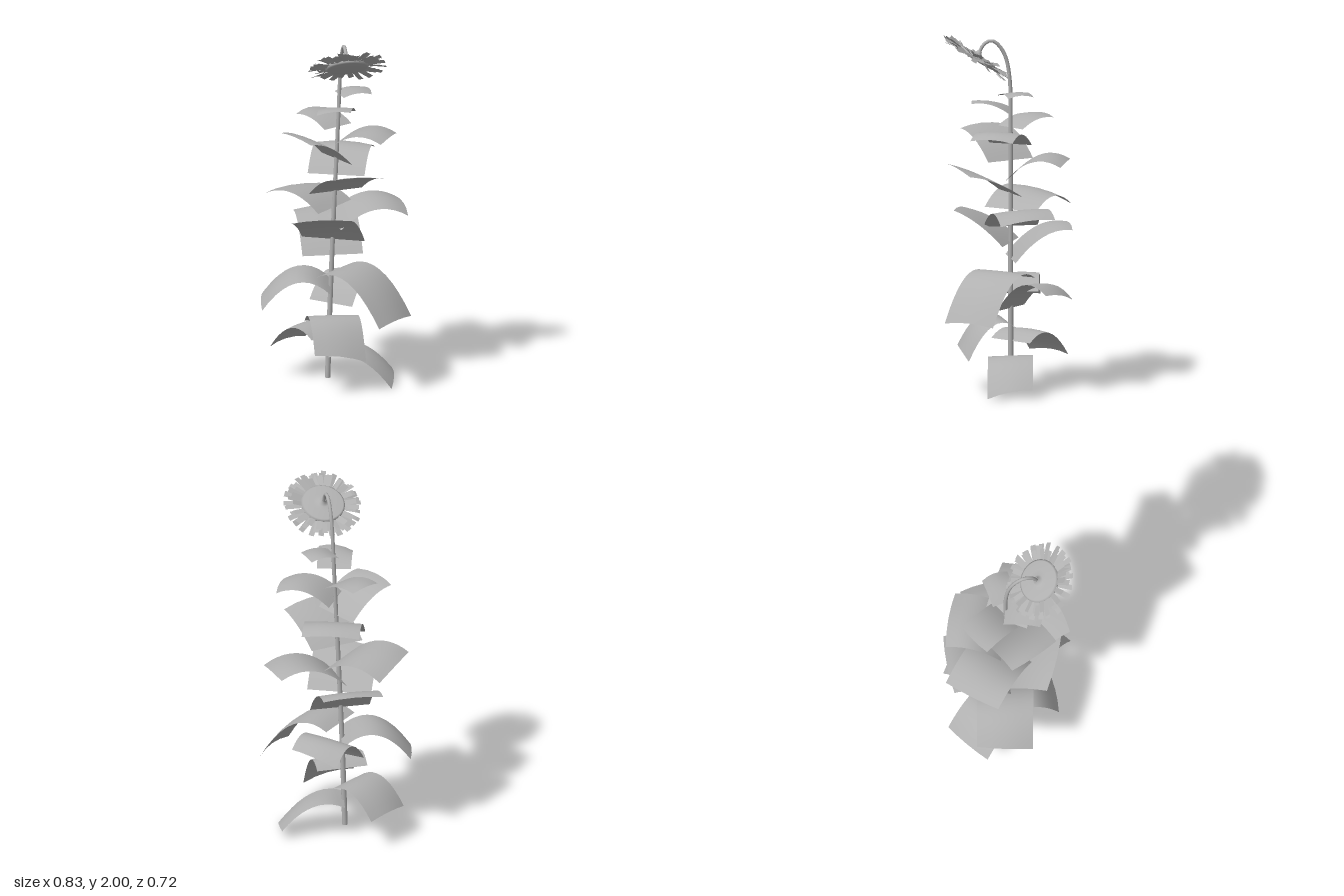
import * as THREE from 'three';

const gray = new THREE.MeshStandardMaterial({ color: 0xb0b0b0, side: THREE.DoubleSide });
gray.name = 'plain gray';

// Small seeded generator for petal jitter, -1..1
let seed = 7;
const jitter = () => {
  seed = (seed * 16807) % 2147483647;
  return (seed / 2147483647) * 2 - 1;
};

function addMesh(parent, geometry, name) {
  const mesh = new THREE.Mesh(geometry, gray);
  mesh.name = name;
  parent.add(mesh);
  return mesh;
}

// Stem centre line, leaning slightly and hooking over at the top
const stemPath = new THREE.CatmullRomCurve3([
  [-0.04, 0.03, 0], [-0.025, 0.5, 0], [-0.005, 1, 0], [0.018, 1.5, 0], [0.028, 1.75, 0.005],
  [0.036, 1.88, 0.03], [0.046, 1.95, 0.075], [0.054, 1.967, 0.11], [0.062, 1.945, 0.15], [0.068, 1.885, 0.18],
].map(p => new THREE.Vector3(...p)));

// Tapered tube
function makeStem() {
  const rings = 80, sides = 10;
  const geo = new THREE.TubeGeometry(stemPath, rings, 0.016, sides);
  const pos = geo.attributes.position, p = new THREE.Vector3();
  for (let i = 0; i < pos.count; i++) {
    const t = Math.floor(i / (sides + 1)) / rings;
    const c = stemPath.getPointAt(t);
    p.fromBufferAttribute(pos, i).sub(c).multiplyScalar(1 - 0.4 * t).add(c);
    pos.setXYZ(i, p.x, p.y, p.z);
  }
  return geo;
}

// Broad arched leaf: heights at half length and tip are relative to its root
function makeLeaf(angle, length, width, mid, tip, roll) {
  const geo = new THREE.PlaneGeometry(2, 1, 4, 10);
  const pos = geo.attributes.position;
  const a = THREE.MathUtils.degToRad(angle), c = Math.cos(a), s = Math.sin(a);
  for (let i = 0; i < pos.count; i++) {
    const v = pos.getX(i), u = pos.getY(i) + 0.5;
    const along = length * u + 0.012 * u * (0.5 - v * v);
    const across = v * width / 2;
    const arch = 4 * mid * u * (1 - u) + tip * u * (2 * u - 1);
    const y = arch + u * (roll * v + 0.016 * (0.5 - v * v));
    pos.setXYZ(i, c * along - s * across, y, s * along + c * across);
  }
  geo.computeVertexNormals();
  return geo;
}

// angle, length, width, mid height, tip height, roll
const leaves = [
  [0, 0.355, 0.25, 0.002, -0.148, -0.025],
  [222, 0.32, 0.29, 0.045, -0.09, 0],
  [77, 0.275, 0.29, 0.032, -0.145, 0.026],
  [-58, 0.325, 0.28, 0.145, 0.09, 0.03],
  [181, 0.385, 0.31, 0.075, -0.075, 0.012],
  [33, 0.425, 0.32, 0.008, -0.222, 0],
  [260, 0.325, 0.34, 0.15, 0.185, 0],
  [104, 0.285, 0.36, 0.115, 0.18, -0.022],
  [-15, 0.39, 0.31, 0.115, 0.08, -0.015],
  [212, 0.36, 0.34, 0.085, 0.04, -0.03],
  [65, 0.325, 0.32, 0.10, 0.155, 0.015],
  [-80, 0.315, 0.32, 0.113, 0.09, 0],
  [145, 0.28, 0.30, 0.12, 0.165, 0],
  [20, 0.31, 0.25, 0.085, 0.06, 0],
  [227, 0.24, 0.20, 0.05, 0.05, 0],
  [97, 0.21, 0.19, 0.045, 0.045, -0.012],
  [-21, 0.17, 0.15, 0.022, 0.012, 0],
];

// Flower head, built facing local -y
function makeHead() {
  const head = new THREE.Group();
  head.name = 'flowerHead';
  const profile = [[0, -0.018], [0.06, -0.017], [0.11, -0.014], [0.121, -0.008], [0.122, 0.008], [0.112, 0.014],
    [0.06, 0.016], [0.03, 0.019], [0.018, 0.026], [0.012, 0.04]].map(p => new THREE.Vector2(...p));
  addMesh(head, new THREE.LatheGeometry(profile, 40), 'seedDisk');

  // Three overlapping rings of strap petals, fanned front to back
  const rings = [[24, 0.216, -0.004, 0, 0.06], [22, 0.204, 0.001, 0.4, -0.06], [20, 0.182, 0.005, 0.75, -0.2]];
  for (const [count, outer, height, shift, pitch] of rings) {
    for (let i = 0; i < count; i++) {
      const length = outer - 0.113 + 0.006 * jitter();
      const geo = new THREE.PlaneGeometry(0.031 + 0.004 * jitter(), length);
      geo.rotateX(-Math.PI / 2);
      geo.translate(0, 0, length / 2);
      geo.rotateZ(0.35 * jitter());
      geo.rotateX(pitch + 0.17 * jitter());
      geo.translate(0, height, 0.113);
      geo.rotateY(((i + shift + 0.15 * jitter()) / count) * Math.PI * 2);
      addMesh(head, geo, 'petal');
    }
  }
  head.rotation.set(-0.57, 0.2, 0, 'YXZ');
  head.position.set(0.07, 1.877, 0.19);
  return head;
}

export function createModel() {
  seed = 7;
  const model = new THREE.Group();
  model.name = 'tallFlower';
  addMesh(model, makeStem(), 'stem');
  const foot = addMesh(model, new THREE.CircleGeometry(0.016, 10), 'stemFoot');
  foot.rotation.x = Math.PI / 2;
  foot.position.set(-0.04, 0.03, 0);

  // Leaves spiral evenly up the stem
  leaves.forEach((leaf, k) => {
    const y = 0.18 + 0.0925 * k;
    const mesh = addMesh(model, makeLeaf(...leaf), 'leaf');
    mesh.position.set(-0.04 + 0.039 * y, y, 0);
  });

  model.add(makeHead());
  return model;
}
